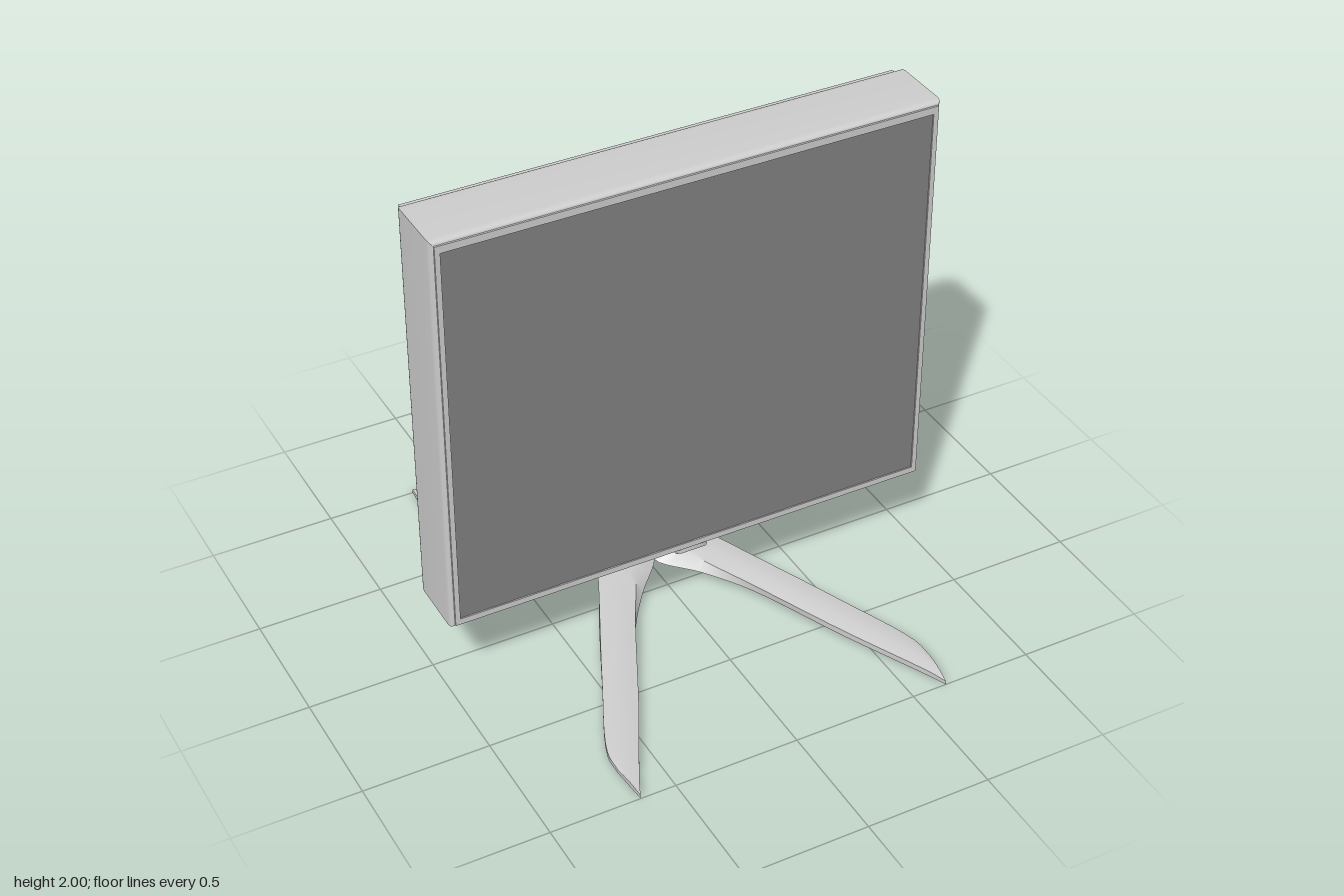
import * as THREE from 'three';
import { toCreasedNormals } from 'three/addons/utils/BufferGeometryUtils.js';

const grey = new THREE.MeshStandardMaterial({ color: 0xcccccc });
const dark = new THREE.MeshStandardMaterial({ color: 0x808080 });

function add(group, name, geometry, material = grey) {
  const mesh = new THREE.Mesh(geometry, material);
  mesh.name = name;
  group.add(mesh);
  return mesh;
}

function rect(w, y0, y1, Type = THREE.Shape) {
  const s = new Type();
  s.moveTo(-w, y0).lineTo(w, y0).lineTo(w, y1).lineTo(-w, y1).closePath();
  return s;
}

// Panel between z0 and z1 with softened rims
function panel(w, y0, y1, z0, z1, size, thick) {
  const g = new THREE.ExtrudeGeometry(rect(w - size, y0 + size, y1 - size), {
    depth: z1 - z0 - 2 * thick, bevelSize: size, bevelThickness: thick, bevelSegments: 5,
  });
  g.translate(0, 0, z0 + thick);
  return toCreasedNormals(g, 0.6);
}

// Side profile drawn as (-z, y), extruded across x
function sideExtrude(shape, halfWidth, bevel) {
  const g = new THREE.ExtrudeGeometry(shape, {
    depth: 2 * (halfWidth - bevel), bevelSize: bevel, bevelThickness: bevel,
    bevelOffset: -bevel, bevelSegments: 3, curveSegments: 14,
  });
  g.translate(0, 0, bevel - halfWidth);
  g.rotateY(Math.PI / 2);
  return g;
}

// Stations of a leg: free edge x, y, z, then inner edge x, y, z
const frontStations = [
  [0.015, 0.36, -0.135, 0.04, 0.36, -0.415],
  [0.015, 0.27, -0.135, 0.04, 0.27, -0.415],
  [0.02, 0.19, -0.135, 0.045, 0.19, -0.415],
  [0.037, 0.13, -0.13, 0.07, 0.13, -0.415],
  [0.08, 0.092, -0.11, 0.115, 0.1, -0.41],
  [0.16, 0.073, 0.04, 0.18, 0.09, -0.26],
  [0.25, 0.06, 0.21, 0.3, 0.078, 0],
  [0.44, 0.038, 0.6, 0.51, 0.052, 0.44],
  [0.615, 0.022, 0.94, 0.652, 0.032, 0.76],
  [0.642, 0.015, 1, 0.66, 0.028, 0.86],
];
const rearStations = [
  [0.015, 0.36, -0.69, 0.04, 0.36, -0.427],
  [0.015, 0.27, -0.69, 0.04, 0.27, -0.427],
  [0.02, 0.19, -0.69, 0.045, 0.19, -0.427],
  [0.037, 0.13, -0.695, 0.07, 0.13, -0.427],
  [0.08, 0.092, -0.72, 0.12, 0.1, -0.45],
  [0.2, 0.073, -0.785, 0.19, 0.088, -0.5],
  [0.35, 0.056, -0.855, 0.34, 0.07, -0.59],
  [0.5, 0.037, -0.93, 0.5, 0.05, -0.685],
  [0.615, 0.02, -0.985, 0.635, 0.034, -0.765],
  [0.642, 0.015, -1, 0.66, 0.028, -0.82],
];

// Curved leg: vertical half of the column that sweeps out into a bowed foot
function legGeometry(stations, side, zDir) {
  const N = 54, M = 8;
  const track = (fn) => new THREE.CatmullRomCurve3(stations.map((s, i) => new THREE.Vector3(...fn(s, i))));
  const under = (o) => (s, i) => i < 5
    ? [0, Math.max(s[o + 1] - [0, 0, 0.02, 0.04, 0.05][i], 0.045), s[o + 2]]
    : [s[o] - (i === 5 ? 0.03 : 0), Math.max(s[o + 1] - [0.035, 0.03, 0.025, 0.021, 0.015][i - 5], 0), s[o + 2]];
  const a = track((s) => s.slice(0, 3)), b = track((s) => s.slice(3));
  const la = track(under(0)), lb = track(under(3));

  const rings = [];
  for (let j = 0; j <= N; j++) {
    const t = j / N;
    const A = a.getPoint(t), B = b.getPoint(t);
    const turn = THREE.MathUtils.smoothstep(t, 0.2, 0.5) * Math.PI / 2;
    const swell = 0.012 * (1 - 0.5 * t);
    const ring = [];
    for (let i = 0; i <= M; i++) {
      const p = A.clone().lerp(B, i / M);
      const h = swell * Math.sin(Math.PI * i / M);
      p.x += h * Math.cos(turn);
      p.y += h * Math.sin(turn);
      ring.push(p);
    }
    ring.push(lb.getPoint(t), la.getPoint(t));
    rings.push(ring);
  }

  const pos = [], flip = side * zDir < 0;
  const tri = (p, q, r) => {
    for (const v of flip ? [p, r, q] : [p, q, r]) pos.push(v.x * side, v.y, v.z);
  };
  const K = M + 3;
  for (let i = 0; i < K; i++) {
    const n = (i + 1) % K;
    for (let j = 0; j < N; j++) {
      const r = rings[j], s = rings[j + 1];
      tri(r[i], s[i], r[n]);
      tri(s[i], s[n], r[n]);
    }
    if (i > 0 && i < K - 1) {
      tri(rings[0][0], rings[0][i], rings[0][n]);
      tri(rings[N][0], rings[N][n], rings[N][i]);
    }
  }
  const g = new THREE.BufferGeometry();
  g.setAttribute('position', new THREE.Float32BufferAttribute(pos, 3));
  return toCreasedNormals(g, 0.7);
}

export function createModel() {
  const model = new THREE.Group();
  model.name = 'monitor';

  // Housing, back cover, bezel and screen
  add(model, 'housing', panel(1, 0.33, 2, -0.07, 0.203, 0.016, 0.03));
  add(model, 'backCover', panel(0.98, 0.345, 1.98, -0.1, -0.065, 0.004, 0.004));
  const frame = rect(0.985, 0.345, 1.985);
  frame.holes.push(rect(0.965, 0.37, 1.955, THREE.Path));
  add(model, 'bezel', new THREE.ExtrudeGeometry(frame, { depth: 0.01, bevelEnabled: false }).translate(0, 0, 0.2));
  add(model, 'screen', new THREE.PlaneGeometry(1.93, 1.585).translate(0, 1.1625, 0.2045), dark);

  // Small chin under the housing
  const chin = new THREE.Shape();
  chin.moveTo(-0.205, 0.34).lineTo(-0.205, 0.322).lineTo(-0.175, 0.3)
    .lineTo(0.035, 0.3).lineTo(0.065, 0.322).lineTo(0.065, 0.34).closePath();
  add(model, 'chin', toCreasedNormals(sideExtrude(chin, 0.06, 0.008), 0.6));

  // Arm sloping down behind the back cover, tapering rearwards
  const arm = new THREE.Shape();
  arm.moveTo(0.09, 0.36).lineTo(0.805, 0.36).lineTo(0.805, 0.415)
    .quadraticCurveTo(0.805, 0.43, 0.79, 0.432)
    .bezierCurveTo(0.7, 0.448, 0.56, 0.465, 0.46, 0.5)
    .bezierCurveTo(0.38, 0.53, 0.32, 0.59, 0.265, 0.612)
    .quadraticCurveTo(0.245, 0.62, 0.21, 0.62).lineTo(0.09, 0.62).closePath();
  const armGeo = sideExtrude(arm, 0.072, 0.012);
  const p = armGeo.attributes.position;
  for (let i = 0; i < p.count; i++) {
    const t = THREE.MathUtils.clamp((-p.getZ(i) - 0.1) / 0.7, 0, 1);
    p.setX(i, p.getX(i) * (1 - 0.14 * t));
  }
  add(model, 'standArm', toCreasedNormals(armGeo, 0.6));

  // Four legs, mirrored left and right
  for (const side of [1, -1]) {
    const label = side > 0 ? 'Left' : 'Right';
    add(model, 'frontLeg' + label, legGeometry(frontStations, side, 1));
    add(model, 'rearLeg' + label, legGeometry(rearStations, side, -1));
  }
  return model;
}
